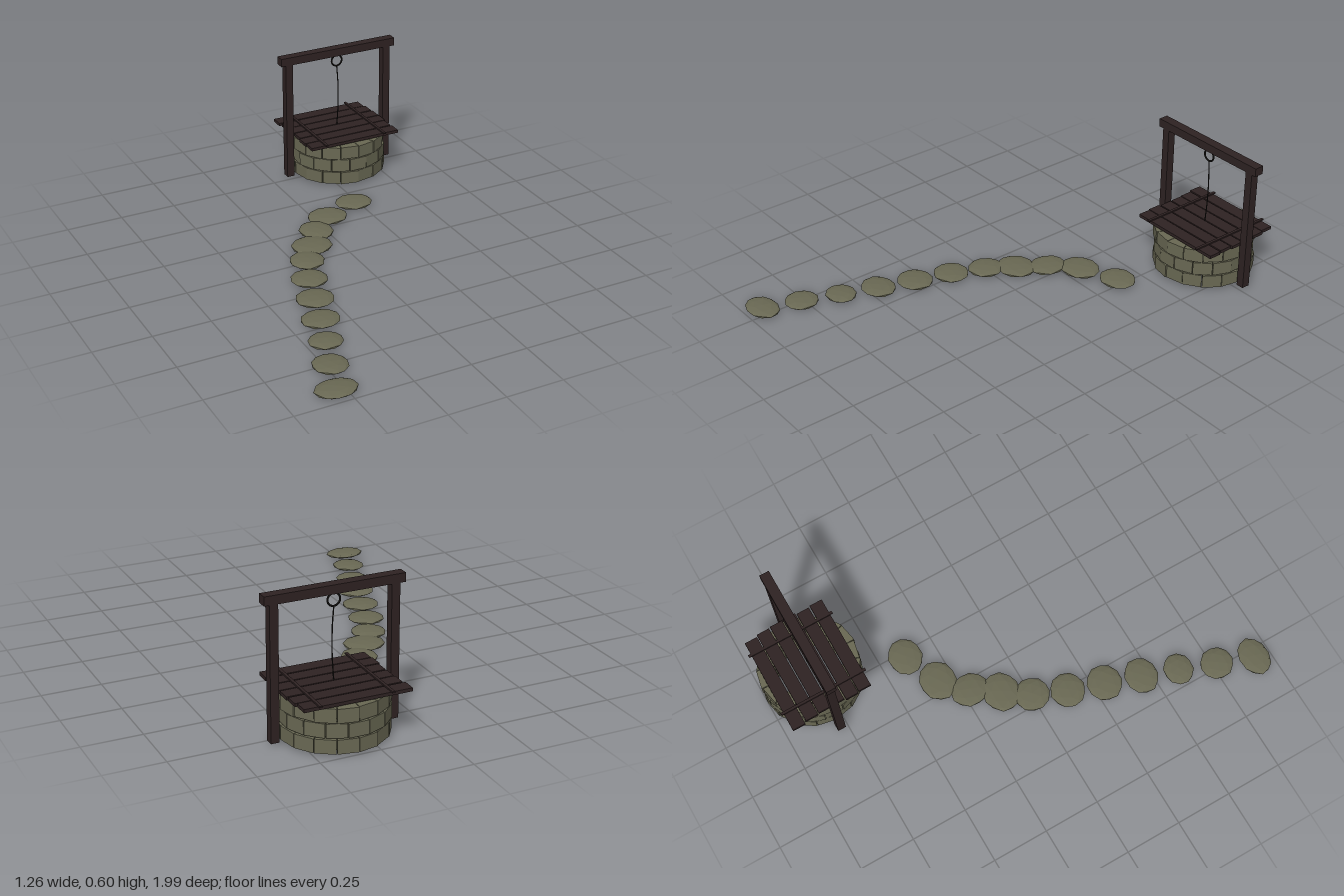
import * as THREE from 'three';

const material = (name, color) => {
  const m = new THREE.MeshStandardMaterial({ color, flatShading: true });
  m.name = name;
  return m;
};

// Seeded random number in -1..1
function seeded(seed) {
  return () => {
    seed = (seed * 16807) % 2147483647;
    return (seed / 2147483647) * 2 - 1;
  };
}

export function createModel() {
  const stone = material('stone', 0x696853);
  const wood = material('darkWood', 0x2e2222);
  const iron = material('iron', 0x1c1a18);
  const rand = seeded(41);
  const model = new THREE.Group();
  model.name = 'wellWithPath';

  const add = (parent, name, geometry, mat, x, y, z) => {
    const mesh = new THREE.Mesh(geometry, mat);
    mesh.name = name;
    mesh.position.set(x, y, z);
    parent.add(mesh);
    return mesh;
  };
  const box = (parent, name, w, h, d, x, y, z) =>
    add(parent, name, new THREE.BoxGeometry(w, h, d), wood, x, y, z);

  const well = new THREE.Group();
  well.name = 'well';
  well.position.set(0.34, 0, -0.78);
  model.add(well);

  // Ring wall: wedge-shaped bricks in staggered rows
  const wall = new THREE.Group();
  wall.name = 'brickWall';
  well.add(wall);
  const count = 16, outer = 0.215, inner = 0.145;
  for (let row = 0; row < 3; row++) {
    for (let i = 0; i < count; i++) {
      const a = ((i + (row % 2 ? 0 : 0.5)) / count) * Math.PI * 2;
      const r = outer + rand() * 0.003;
      const half = Math.tan(Math.PI / count) * 0.965;
      const g = new THREE.BoxGeometry(2, 0.058, 1);
      const p = g.attributes.position;
      for (let v = 0; v < p.count; v++) {
        const radius = p.getZ(v) > 0 ? r : inner;
        p.setX(v, p.getX(v) * half * radius);
        p.setZ(v, radius);
      }
      g.computeVertexNormals();
      add(wall, 'brick', g, stone, 0, 0.041 + row * 0.0625, 0).rotation.y = a;
    }
  }

  // Lid: six planks and two thin battens
  const lid = new THREE.Group();
  lid.name = 'lid';
  well.add(lid);
  const shifts = [-0.011, -0.002, 0.002, 0.003, -0.003, 0.002];
  shifts.forEach((dx, i) => {
    const plank = box(lid, 'plank', 0.443, 0.014, 0.058, dx, 0.207, -0.163 + i * 0.0635);
    plank.rotation.y = rand() * 0.008;
  });
  for (const x of [-0.148, 0.148]) box(lid, 'batten', 0.012, 0.006, 0.4, x, 0.217, -0.004);

  // Frame: two posts and a crossbeam
  for (const x of [-0.249, 0.249]) box(well, 'post', 0.035, 0.56, 0.037, x, 0.29, 0);
  box(well, 'crossbeam', 0.577, 0.037, 0.043, 0, 0.584, 0);

  // Hanging ring and slack rope
  add(well, 'ring', new THREE.TorusGeometry(0.026, 0.004, 8, 24), iron, 0, 0.537, 0);
  const curve = new THREE.CatmullRomCurve3([
    new THREE.Vector3(0, 0.512, 0),
    new THREE.Vector3(0.006, 0.43, 0),
    new THREE.Vector3(0.007, 0.33, 0),
    new THREE.Vector3(0, 0.212, 0),
  ]);
  add(well, 'rope', new THREE.TubeGeometry(curve, 16, 0.0025, 6), iron, 0, 0, 0);

  // Stepping stones: x, z, half width, half depth
  const path = new THREE.Group();
  path.name = 'path';
  model.add(path);
  const stones = [
    [-0.54, 0.926, 0.09, 0.066], [-0.484, 0.768, 0.073, 0.074], [-0.423, 0.61, 0.072, 0.066],
    [-0.368, 0.455, 0.084, 0.073], [-0.315, 0.3, 0.083, 0.078], [-0.264, 0.145, 0.079, 0.078],
    [-0.203, 0.002, 0.076, 0.079], [-0.127, -0.107, 0.092, 0.082], [-0.05, -0.22, 0.075, 0.085],
    [0.055, -0.318, 0.092, 0.081], [0.222, -0.388, 0.085, 0.076],
  ];
  for (const [x, z, rx, rz] of stones) {
    const g = new THREE.IcosahedronGeometry(1, 1);
    g.rotateY(rand() * 3);
    g.scale(rx, 0.0135, rz);
    add(path, 'steppingStone', g, stone, x, 0.0155, z);
  }

  return model;
}
